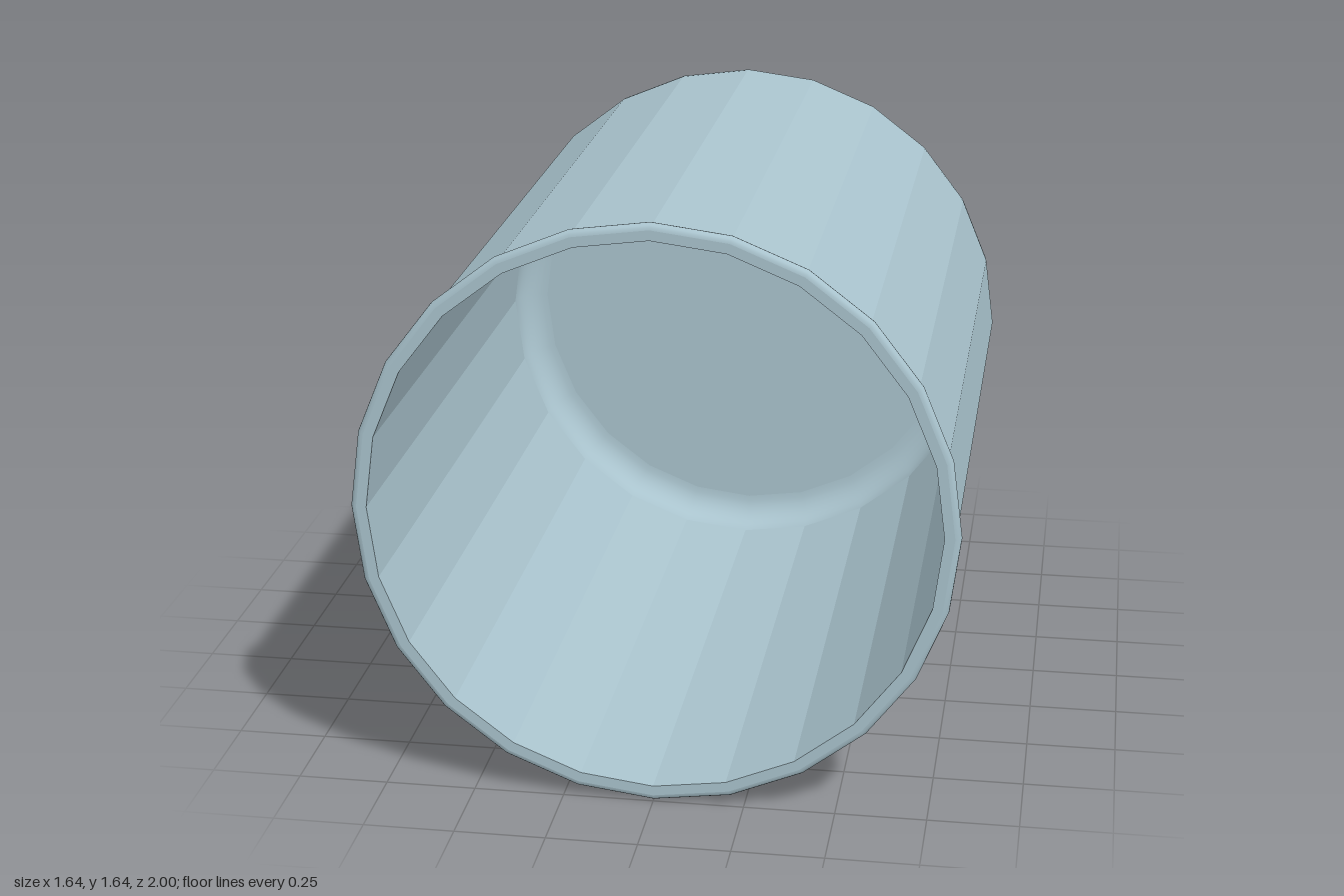
import * as THREE from 'three';

const SIDES = 24;
const R_OUT = 0.805, R_IN = 0.775;   // wall radii
const Z_BACK = -1, Z_FLOOR = -0.97;  // outer and inner face of the closed end
const CORNER_OUT = 0.12, CORNER_IN = 0.09;

// Arc of profile points [radius, z] from angle a0 to a1
function arc(cr, cz, rr, rz, a0, a1, steps) {
  return Array.from({ length: steps + 1 }, (_, i) => {
    const a = a0 + (a1 - a0) * i / steps;
    return [cr + rr * Math.cos(a), cz + rz * Math.sin(a)];
  });
}

export function createModel() {
  const model = new THREE.Group();
  model.name = 'cup';
  const color = 0xa9c3cd;
  const smooth = new THREE.MeshStandardMaterial({ color });
  const faceted = new THREE.MeshStandardMaterial({ color, flatShading: true });

  // Turn a profile around the z axis; the cup lies on its side, mouth forward
  function turn(name, profile, material) {
    const points = profile.map(([r, z]) => new THREE.Vector2(Math.max(r, 0), z));
    const geometry = new THREE.LatheGeometry(points, SIDES).rotateX(Math.PI / 2);
    const mesh = new THREE.Mesh(geometry, material);
    mesh.name = name;
    mesh.position.y = 0.82;
    model.add(mesh);
  }

  const cornerOut = arc(R_OUT - CORNER_OUT, Z_BACK + CORNER_OUT, CORNER_OUT, CORNER_OUT, -Math.PI / 2, 0, 8);
  const cornerIn = arc(R_IN - CORNER_IN, Z_FLOOR + CORNER_IN, CORNER_IN, CORNER_IN, 0, -Math.PI / 2, 8);

  // Outside: flat base, rounded corner, faceted wall
  turn('base', [[0, Z_BACK], cornerOut[0]], faceted);
  turn('baseCorner', cornerOut, smooth);
  turn('outerWall', [cornerOut.at(-1), [R_OUT, 0.98]], faceted);

  // Rolled bead around the mouth, and its flat front edge
  turn('rimBead', arc(0.803, 0.982, 0.017, 0.018, -Math.PI / 2, Math.PI / 2, 8), smooth);
  turn('rimFace', [[0.803, 1], [R_IN, 1]], faceted);

  // Inside: faceted wall, rounded corner, flat floor
  turn('innerWall', [[R_IN, 1], cornerIn[0]], faceted);
  turn('innerCorner', cornerIn, smooth);
  turn('innerFloor', [cornerIn.at(-1), [0, Z_FLOOR]], faceted);

  return model;
}
